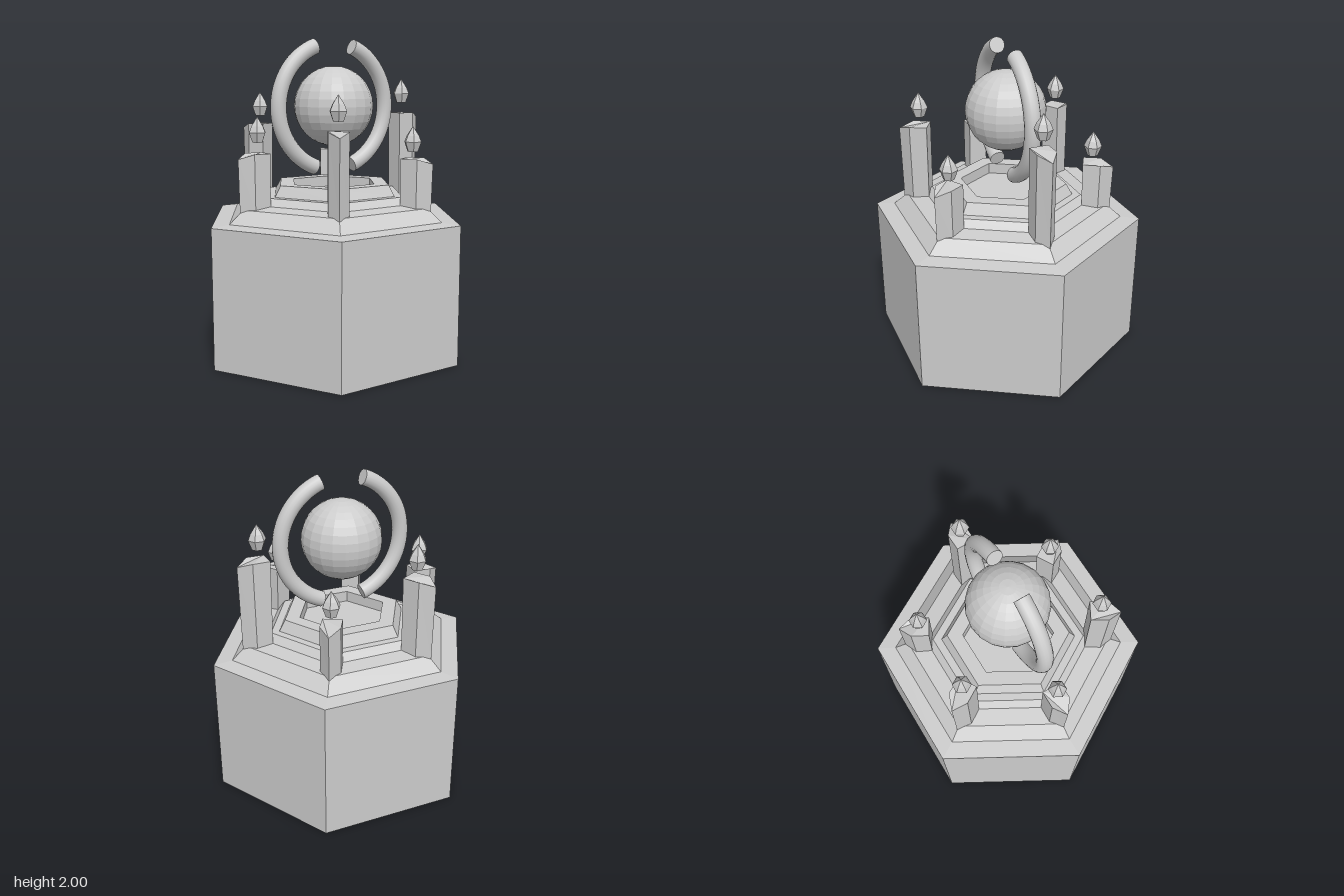
import * as THREE from 'three';

const flat = new THREE.MeshStandardMaterial({ color: 0xcccccc, flatShading: true });
const smooth = new THREE.MeshStandardMaterial({ color: 0xcccccc });

function mesh(name, geometry, material = flat) {
  const m = new THREE.Mesh(geometry, material);
  m.name = name;
  return m;
}

// Faceted solid from [radius, height] pairs, with a corner on +x
function facetedLathe(profile, sides) {
  const points = profile.map(([r, y]) => new THREE.Vector2(r, y));
  return new THREE.LatheGeometry(points, sides, Math.PI / 2);
}

// Five-sided pillar whose outer point is slightly lower than the rest of its top
function pillarGeometry(bottom, top) {
  const outline = [[0.49, -0.06], [0.60, -0.062], [0.68, 0], [0.60, 0.062], [0.49, 0.06]];
  const shape = new THREE.Shape(outline.map(([x, y]) => new THREE.Vector2(x, y)));
  const g = new THREE.ExtrudeGeometry(shape, { depth: top - bottom, bevelEnabled: false });
  g.rotateX(-Math.PI / 2).translate(0, bottom, 0);
  const p = g.attributes.position;
  for (let i = 0; i < p.count; i++) {
    if (p.getY(i) < top - 0.01) {
      p.setX(i, 0.55 + (p.getX(i) - 0.55) * 0.94);
    } else if (p.getX(i) > 0.65) {
      p.setY(i, top - 0.03);
    }
  }
  g.computeVertexNormals();
  return g;
}

export function createModel() {
  const model = new THREE.Group();
  model.name = 'crystalPedestal';

  // Hexagonal pedestal with stepped top and sunken centre
  model.add(mesh('pedestal', facetedLathe([
    [0, 0], [0.865, 0], [0.865, 0.88], [0.745, 0.89], [0.652, 0.97],
    [0.53, 0.985], [0.485, 1.03], [0.43, 1.03], [0.39, 1.10],
    [0.29, 1.10], [0.29, 1.03], [0, 1.03],
  ], 6)));

  // Floating orb
  const orb = mesh('orb', new THREE.SphereGeometry(0.253, 20, 16));
  orb.position.set(0.003, 1.585, 0);
  model.add(orb);

  // Two open ring halves around the orb, with capped ends
  const arc = THREE.MathUtils.degToRad(140);
  const R = 0.402, r = 0.05;
  for (const [name, turn] of [['leftRing', 0], ['rightRing', Math.PI]]) {
    const ring = new THREE.Group();
    ring.name = name;
    const tube = mesh(name + 'Tube', new THREE.TorusGeometry(R, r, 16, 32, arc), smooth);
    tube.rotation.z = -arc / 2;
    ring.add(tube);
    for (const s of [-1, 1]) {
      const cap = mesh(name + 'Cap', new THREE.CircleGeometry(r, 16));
      const a = s * arc / 2;
      cap.position.set(R * Math.cos(a), R * Math.sin(a), 0);
      cap.lookAt(cap.position.x - s * Math.sin(a), cap.position.y + s * Math.cos(a), 0);
      ring.add(cap);
    }
    ring.position.set(0.003, 1.58, 0);
    ring.rotation.y = turn;
    model.add(ring);
  }

  // Six pillars of varied height, each with a floating crystal; first on +x, turning toward the back
  const crystal = facetedLathe([
    [0, 0], [0.034, 0.002], [0.056, 0.062], [0.04, 0.1], [0, 0.158],
  ], 6);
  const tops = [1.53, 1.265, 1.46, 1.31, 1.46, 1.275];
  const bases = [1.595, 1.31, 1.51, 1.375, 1.515, 1.315];
  tops.forEach((top, i) => {
    const station = new THREE.Group();
    station.name = 'pillarStation' + (i + 1);
    station.add(mesh('pillar', pillarGeometry(0.95, top)));
    const gem = mesh('crystal', crystal);
    gem.position.set(0.547, bases[i], 0);
    station.add(gem);
    station.rotation.y = i * Math.PI / 3;
    model.add(station);
  });

  return model;
}
